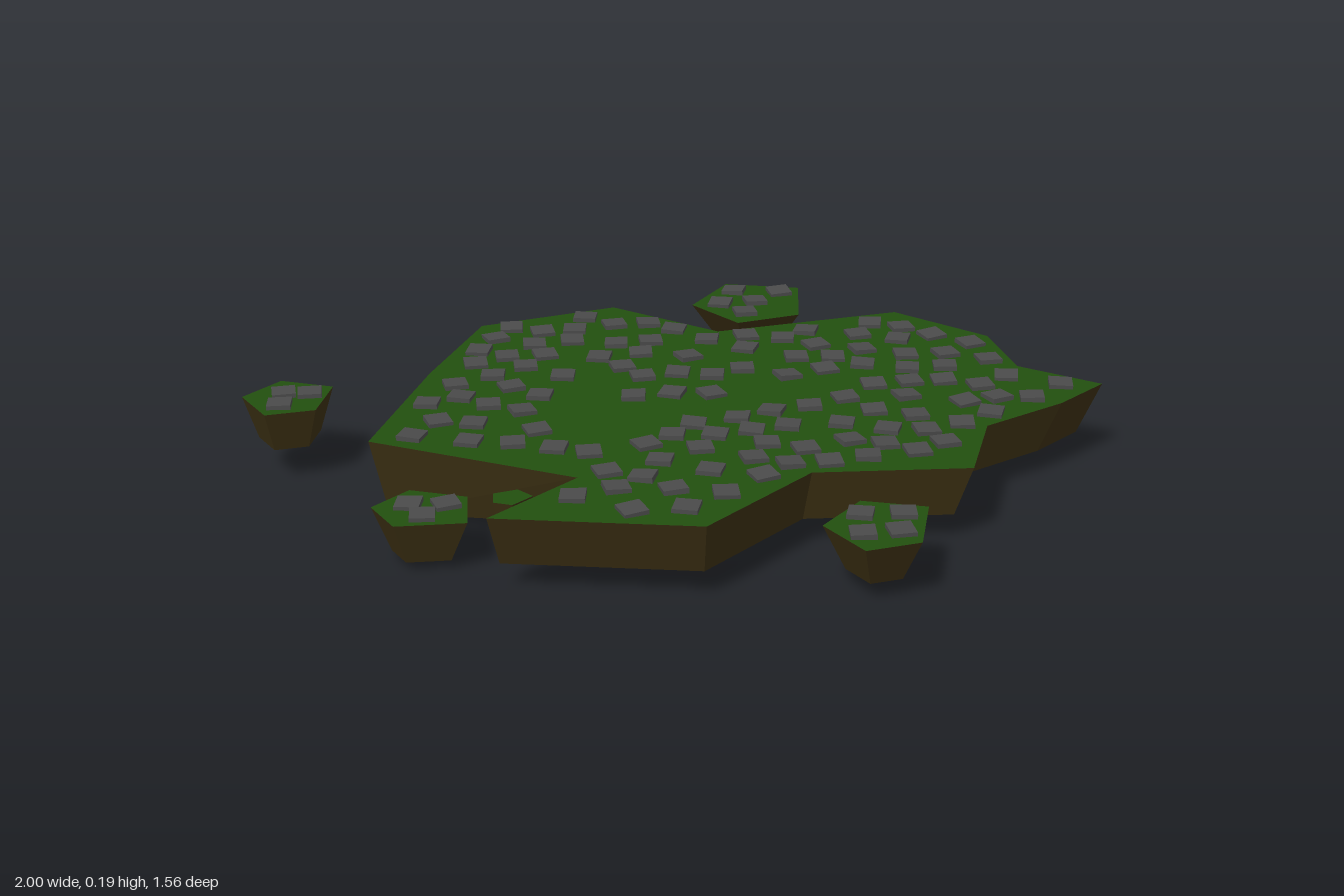
import * as THREE from 'three';

const grass = new THREE.MeshStandardMaterial({ color: 0x224f0f, flatShading: true });
const earth = new THREE.MeshStandardMaterial({ color: 0x3a2e12, flatShading: true });
const stone = new THREE.MeshStandardMaterial({ color: 0x4a4a4a, flatShading: true });

// Outlines are [x, z, extra drop of the underside]
const MAIN = [
  [-0.445, -0.505], [-0.11, -0.615], [0.137, -0.417], [0.597, -0.52],
  [0.795, -0.33], [0.825, -0.12], [0.997, 0.01], [0.875, 0.12],
  [0.677, 0.24], [0.6, 0.47], [0.25, 0.465], [0, 0.717],
  [-0.445, 0.64], [-0.25, 0.45], [-0.7, 0.215, 0.06], [-0.57, -0.19],
];

const ISLETS = [
  { name: 'backIslet', top: 0.175, bottom: 0.075, taper: 0.52,
    outline: [[0.195, -0.785], [0.38, -0.74], [0.355, -0.535], [0.195, -0.487], [0.093, -0.63]],
    stones: [[0.21, -0.725], [0.325, -0.705], [0.165, -0.63], [0.255, -0.64], [0.22, -0.56]] },
  { name: 'rightIslet', top: 0.18, bottom: 0.08, taper: 0.68,
    outline: [[-0.917, -0.17], [-0.794, -0.123], [-0.826, 0.02], [-0.94, 0.043], [-1, -0.075]],
    stones: [[-0.905, -0.085], [-0.845, -0.08], [-0.91, -0.015]] },
  { name: 'frontRightIslet', top: 0.12, bottom: 0.02, taper: 0.62,
    outline: [[-0.61, 0.35], [-0.485, 0.395], [-0.485, 0.53], [-0.64, 0.535], [-0.69, 0.433]],
    stones: [[-0.61, 0.43], [-0.53, 0.435], [-0.58, 0.49]] },
  { name: 'frontIslet', top: 0.14, bottom: 0.04, taper: 0.58,
    outline: [[0.345, 0.53], [0.485, 0.572], [0.44, 0.745], [0.318, 0.775], [0.248, 0.647]],
    stones: [[0.335, 0.6], [0.425, 0.605], [0.325, 0.695], [0.405, 0.69]] },
  { name: 'tinyIslet', top: 0.15, bottom: 0.06, taper: 0.5,
    outline: [[-0.377, 0.433], [-0.345, 0.47], [-0.39, 0.513], [-0.43, 0.497], [-0.43, 0.45]],
    stones: [] },
];

// Seeded random numbers in 0..1
let seed = 7;
function rand() {
  seed = (seed * 1664525 + 1013904223) % 4294967296;
  return seed / 4294967296;
}

function meshFromTriangles(name, corners, material) {
  const geometry = new THREE.BufferGeometry().setFromPoints(corners);
  geometry.computeVertexNormals();
  const mesh = new THREE.Mesh(geometry, material);
  mesh.name = name;
  return mesh;
}

// Floating slab: grass cap, tapered earth walls and underside
function island({ name, outline, top, bottom, taper, centre }) {
  const ring = [...outline].reverse(); // counter-clockwise from above
  const n = ring.length;
  const [cx, cz] = centre ?? [0, 1].map(k => ring.reduce((s, p) => s + p[k], 0) / n);
  const upper = ring.map(([x, z]) => new THREE.Vector3(x, top, z));
  const lower = ring.map(([x, z, drop = 0]) =>
    new THREE.Vector3(cx + (x - cx) * taper, bottom - drop, cz + (z - cz) * taper));
  const faces = THREE.ShapeUtils.triangulateShape(ring.map(([x, z]) => new THREE.Vector2(x, -z)), []);

  const cap = faces.flatMap(f => f.map(i => upper[i]));
  const body = faces.flatMap(([a, b, c]) => [lower[c], lower[b], lower[a]]);
  for (let i = 0; i < n; i++) {
    const j = (i + 1) % n;
    body.push(lower[i], lower[j], upper[j], lower[i], upper[j], upper[i]);
  }
  const group = new THREE.Group();
  group.name = name;
  group.add(meshFromTriangles('grassTop', cap, grass), meshFromTriangles('earthBody', body, earth));
  return group;
}

// Flat paving stones, each slightly turned and tilted
const stoneGeometry = new THREE.BoxGeometry(0.055, 0.02, 0.055);
function addStones(group, spots, top) {
  for (const [x, z] of spots) {
    const mesh = new THREE.Mesh(stoneGeometry, stone);
    mesh.name = 'pavingStone';
    mesh.position.set(x, top, z);
    mesh.rotation.set((rand() - 0.5) * 0.12, (rand() - 0.5) * 0.8, (rand() - 0.5) * 0.12);
    group.add(mesh);
  }
}

// Inside the outline and at least `margin` from its edge
function isInside(x, z, outline, margin) {
  let inside = false;
  for (let i = 0; i < outline.length; i++) {
    const [ax, az] = outline[i];
    const [bx, bz] = outline[(i + 1) % outline.length];
    if ((az > z) !== (bz > z) && x < ax + ((z - az) * (bx - ax)) / (bz - az)) inside = !inside;
    const dx = bx - ax, dz = bz - az;
    const t = THREE.MathUtils.clamp(((x - ax) * dx + (z - az) * dz) / (dx * dx + dz * dz), 0, 1);
    if (Math.hypot(x - ax - t * dx, z - az - t * dz) < margin) return false;
  }
  return inside;
}

// Scatter evenly over the main island, leaving a bare clearing in the middle
function scatterSpots() {
  const inEllipse = (x, z, cx, cz, rx, rz) => ((x - cx) / rx) ** 2 + ((z - cz) / rz) ** 2 < 1;
  const spots = [[-0.1, 0], [-0.01, -0.01], [0.08, 0]];
  for (let i = 0; i < 8000; i++) {
    const x = rand() * 2 - 1, z = rand() * 1.5 - 0.75;
    if (!isInside(x, z, MAIN, 0.05)) continue;
    if (inEllipse(x, z, 0.1, 0, 0.32, 0.11) || inEllipse(x, z, -0.17, 0.08, 0.14, 0.23)) continue;
    if (spots.every(([px, pz]) => Math.hypot(px - x, pz - z) > 0.077)) spots.push([x, z]);
  }
  return spots;
}

export function createModel() {
  const model = new THREE.Group();
  model.name = 'floatingIslands';

  const main = island({ name: 'mainIsland', outline: MAIN, top: 0.18, bottom: 0.06, taper: 0.945, centre: [0, 0] });
  addStones(main, scatterSpots(), 0.18);
  model.add(main);

  for (const spec of ISLETS) {
    const islet = island(spec);
    addStones(islet, spec.stones, spec.top);
    model.add(islet);
  }
  return model;
}
